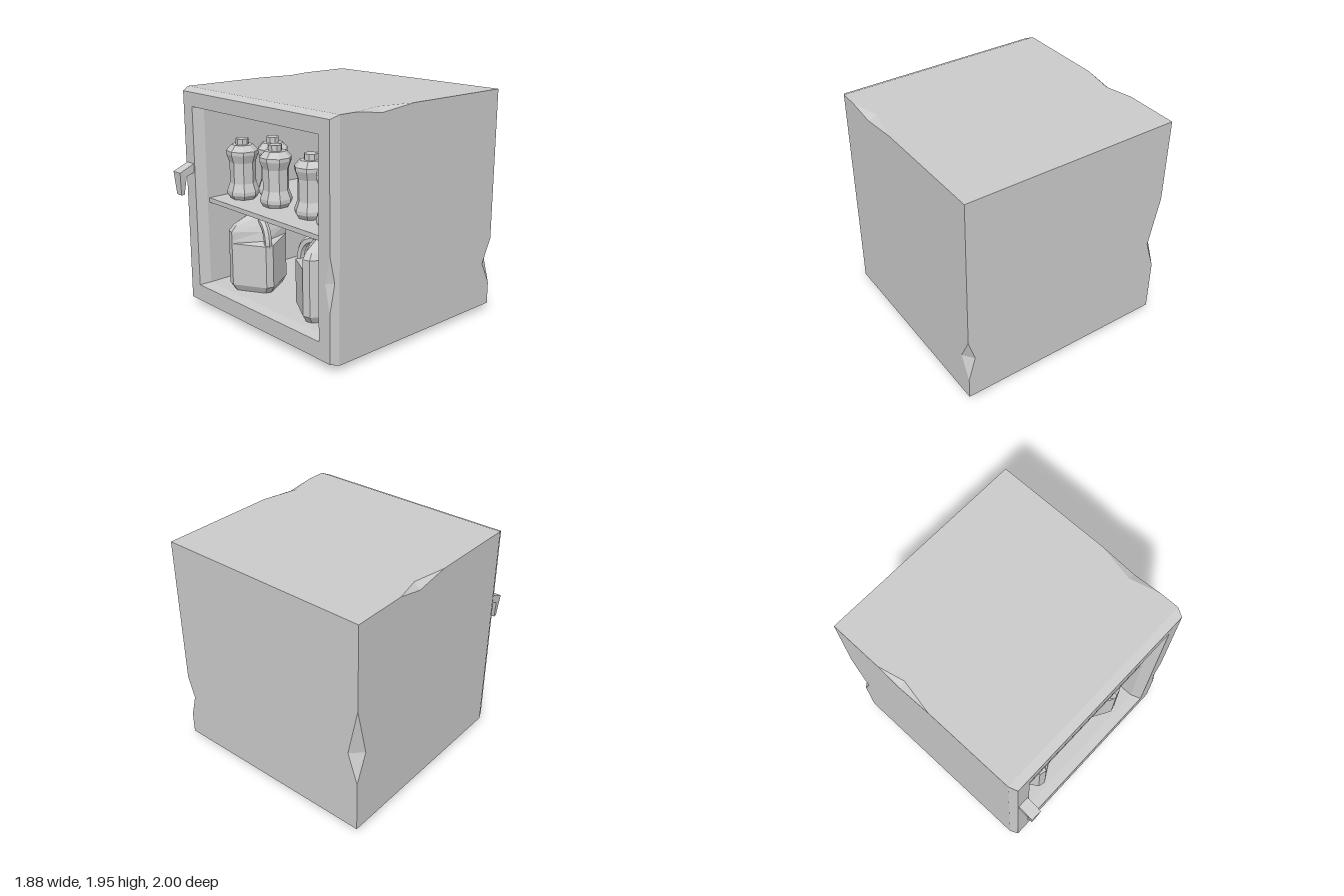
import * as THREE from 'three';

const grey = new THREE.MeshStandardMaterial({ color: 0xcccccc, flatShading: true });

function add(parent, name, geometry, x = 0, y = 0, z = 0, turn = 0) {
  const mesh = new THREE.Mesh(geometry, grey);
  mesh.name = name;
  mesh.position.set(x, y, z);
  mesh.rotation.y = turn;
  parent.add(mesh);
  return mesh;
}

const V = (x, y, z) => new THREE.Vector3(x, y, z);

// Collects planar polygons, each turned to face along its hint direction.
class Faces {
  constructor() { this.pos = []; }
  poly(pts, hint, hole = []) {
    const a = hint.toArray().map(Math.abs);
    const main = a.indexOf(Math.max(...a));
    const keys = ['x', 'y', 'z'].filter((k, i) => i !== main);
    const flat = list => list.map(p => new THREE.Vector2(p[keys[0]], p[keys[1]]));
    const all = [...pts, ...hole];
    const tris = THREE.ShapeUtils.triangulateShape(flat(pts), hole.length ? [flat(hole)] : []);
    for (const t of tris) {
      let [p, q, r] = t.map(i => all[i]);
      const n = q.clone().sub(p).cross(r.clone().sub(p));
      if (n.dot(hint) < 0) [q, r] = [r, q];
      for (const v of [p, q, r]) this.pos.push(v.x, v.y, v.z);
    }
  }
  // Triangle given directly, for the slanted faces of a dent.
  tri(p, q, r, hint) {
    const n = q.clone().sub(p).cross(r.clone().sub(p));
    const list = n.dot(hint) < 0 ? [p, r, q] : [p, q, r];
    for (const v of list) this.pos.push(v.x, v.y, v.z);
  }
  build() {
    const g = new THREE.BufferGeometry();
    g.setAttribute('position', new THREE.Float32BufferAttribute(this.pos, 3));
    g.computeVertexNormals();
    return g;
  }
}

// Rectangle in x and y at depth z: bottom left, bottom right, top right, top left
const ring = (x, y0, y1, z) => [V(-x, y0, z), V(x, y0, z), V(x, y1, z), V(-x, y1, z)];
const sideDirs = [V(0, -1, 0), V(1, 0, 0), V(0, 1, 0), V(-1, 0, 0)];

function cabinet() {
  const f = new Faces();
  const back = ring(0.94, 0.05, 1.95, -1), mid = ring(0.94, 0.05, 1.95, 0.79);
  const front = ring(0.91, 0.07, 1.92, 0.86);
  // Dents: a and b lie on the edge, p and q on the two faces beside it
  const dents = {
    backLeft: { a: V(0.94, 0.65, -1), b: V(0.94, 0.24, -1), p: V(0.94, 0.44, -0.9), q: V(0.88, 0.455, -1), out: V(1, 0, -1) },
    backRight: { a: V(-0.94, 1.22, -1), b: V(-0.94, 0.52, -1), p: V(-0.94, 0.775, -0.9), q: V(-0.85, 0.785, -1), out: V(-1, 0, -1) },
    topLeft: { a: V(0.94, 1.95, 0.03), b: V(0.94, 1.95, 0.63), p: V(0.94, 1.915, 0.37), q: V(0.87, 1.95, 0.36), out: V(1, 1, 0) },
    topRight: { a: V(-0.94, 1.95, -0.53), b: V(-0.94, 1.95, 0), p: V(-0.94, 1.9, -0.3), q: V(-0.885, 1.95, -0.3), out: V(-1, 1, 0) },
    frontLeft: { a: V(0.91, 0.93, 0.86), b: V(0.91, 0.47, 0.86), p: V(0.925, 0.71, 0.825), q: V(0.86, 0.7, 0.86), out: V(1, 0, 1) },
  };
  for (const d of Object.values(dents)) {
    f.tri(d.a, d.p, d.q, d.out);
    f.tri(d.b, d.p, d.q, d.out);
  }
  const { backLeft: bl, backRight: br, topLeft: tl, topRight: tr, frontLeft: fl } = dents;
  // Outer walls
  f.poly([back[0], back[1], bl.b, bl.q, bl.a, back[2], back[3], br.a, br.q, br.b], V(0, 0, -1));
  f.poly([back[1], bl.b, bl.p, bl.a, back[2], tl.a, tl.p, tl.b, mid[2], mid[1]], V(1, 0, 0));
  f.poly([back[0], br.b, br.p, br.a, back[3], tr.a, tr.p, tr.b, mid[3], mid[0]], V(-1, 0, 0));
  f.poly([back[3], back[2], tl.a, tl.q, tl.b, mid[2], mid[3], tr.b, tr.q, tr.a], V(0, 1, 0));
  f.poly([back[0], back[1], mid[1], mid[0]], V(0, -1, 0));
  // Front bevel
  sideDirs.forEach((dir, i) => {
    const j = (i + 1) % 4;
    const dent = i === 1 ? [fl.b, fl.p, fl.a] : [];
    f.poly([mid[i], front[i], ...dent, front[j], mid[j]], dir);
  });
  // Front frame, sloped reveal and inner walls
  const lip = ring(0.787, 0.215, 1.8, 0.86), inner = ring(0.747, 0.23, 1.785, 0.77);
  const rear = ring(0.747, 0.23, 1.785, -0.8);
  f.poly([front[0], front[1], fl.b, fl.q, fl.a, front[2], front[3]], V(0, 0, 1), lip);
  sideDirs.forEach((dir, i) => {
    const j = (i + 1) % 4, inward = dir.clone().negate();
    f.poly([lip[i], lip[j], inner[j], inner[i]], inward);
    f.poly([inner[i], inner[j], rear[j], rear[i]], inward);
  });
  f.poly(rear, V(0, 0, 1));
  return f.build();
}

// Hooked door handle, tapering towards its lower end
function doorHandle() {
  const outline = [[0.86, 1.235], [0.935, 1.21], [0.955, 1.05], [0.985, 1.05], [1, 1.25], [0.86, 1.31]];
  const shape = new THREE.Shape(outline.map(p => new THREE.Vector2(...p)));
  const g = new THREE.ExtrudeGeometry(shape, { depth: 0.1, bevelEnabled: false });
  g.rotateY(-Math.PI / 2).translate(0.05, 0, 0);
  const p = g.attributes.position;
  for (let i = 0; i < p.count; i++) if (p.getY(i) < 1.1) p.setX(i, p.getX(i) * 0.68);
  return g;
}

const lathe = (profile, sides) =>
  new THREE.LatheGeometry(profile.map(p => new THREE.Vector2(...p)), sides);

// Square jug body with cut corners; one corner is hollowed for the grip
function jugBody() {
  const h = 0.2, c = 0.046, section = [];
  for (let k = 0; k < 4; k++) {
    const cs = Math.round(Math.cos(k * Math.PI / 2)), sn = Math.round(Math.sin(k * Math.PI / 2));
    for (const [x, z] of [[h, h - c], [h - c, h]]) section.push([x * cs - z * sn, x * sn + z * cs]);
  }
  // height, scale, scale of the hollowed corner
  const rings = [[0, 0.84, 0.84], [0.06, 1, 1], [0.43, 1, 1], [0.45, 1, 0.62],
    [0.53, 1, 0.55], [0.58, 0.84, 0.48], [0.655, 0.32, 0.32]];
  const pos = [], index = [], n = section.length;
  for (const [y, s, cut] of rings)
    section.forEach(([x, z], j) => { const k = j < 2 ? cut : s; pos.push(x * k, y, z * k); });
  for (let i = 0; i < rings.length - 1; i++)
    for (let j = 0; j < n; j++) {
      const a = i * n + j, b = i * n + (j + 1) % n;
      index.push(a, a + n, b, b, a + n, b + n);
    }
  for (let j = 1; j < n - 1; j++) index.push(0, j, j + 1);
  const g = new THREE.BufferGeometry();
  g.setAttribute('position', new THREE.Float32BufferAttribute(pos, 3));
  g.setIndex(index);
  g.computeVertexNormals();
  return g;
}

function jug(x, z, turn) {
  const g = new THREE.Group();
  g.name = 'jug';
  add(g, 'jugBody', jugBody());
  add(g, 'jugNeck', lathe([[0.08, 0.63], [0.08, 0.66], [0.055, 0.67], [0.068, 0.73], [0, 0.73]], 8));
  // Grip arching from the neck down the hollowed corner
  const d = Math.SQRT1_2;
  const path = [[0.06, 0.615], [0.13, 0.605], [0.185, 0.56], [0.215, 0.49], [0.222, 0.41]]
    .map(([r, y]) => V(r * d, y, r * d));
  add(g, 'jugGrip', new THREE.TubeGeometry(new THREE.CatmullRomCurve3(path), 6, 0.034, 6));
  g.position.set(x, 0.23, z);
  g.rotation.y = turn;
  return g;
}

export function createModel() {
  const model = new THREE.Group();
  model.name = 'miniFridge';
  add(model, 'cabinet', cabinet());
  add(model, 'base', new THREE.BoxGeometry(1.71, 0.06, 1.61), 0, 0.03, -0.105);
  add(model, 'doorHandle', doorHandle(), -0.85);
  add(model, 'shelf', new THREE.BoxGeometry(1.494, 0.04, 1.55), 0, 0.98, -0.025);
  add(model, 'ceilingUnit', new THREE.BoxGeometry(0.73, 0.07, 0.6), -0.382, 1.75, -0.5);

  // Bottles on the shelf: x, z, turn
  const bottle = lathe([[0, 0], [0.11, 0], [0.138, 0.04], [0.138, 0.07], [0.112, 0.14], [0.112, 0.32],
    [0.138, 0.39], [0.138, 0.42], [0.09, 0.47], [0.056, 0.47], [0.056, 0.52], [0, 0.52]], 8);
  const spots = [[-0.565, 0.52, 0.2], [-0.45, 0.28, 0.5], [-0.178, 0.47, 0.35],
    [0.155, 0.2, 0.1], [0.265, 0.47, 0.6], [0.565, 0.51, 0.4]];
  for (const [x, z, turn] of spots) add(model, 'bottle', bottle, x, 1, z, turn);

  // Jugs on the floor, grips towards each other
  model.add(jug(-0.405, 0.5, Math.PI / 6), jug(0.445, 0.5, -Math.PI * 2 / 3));
  return model;
}
